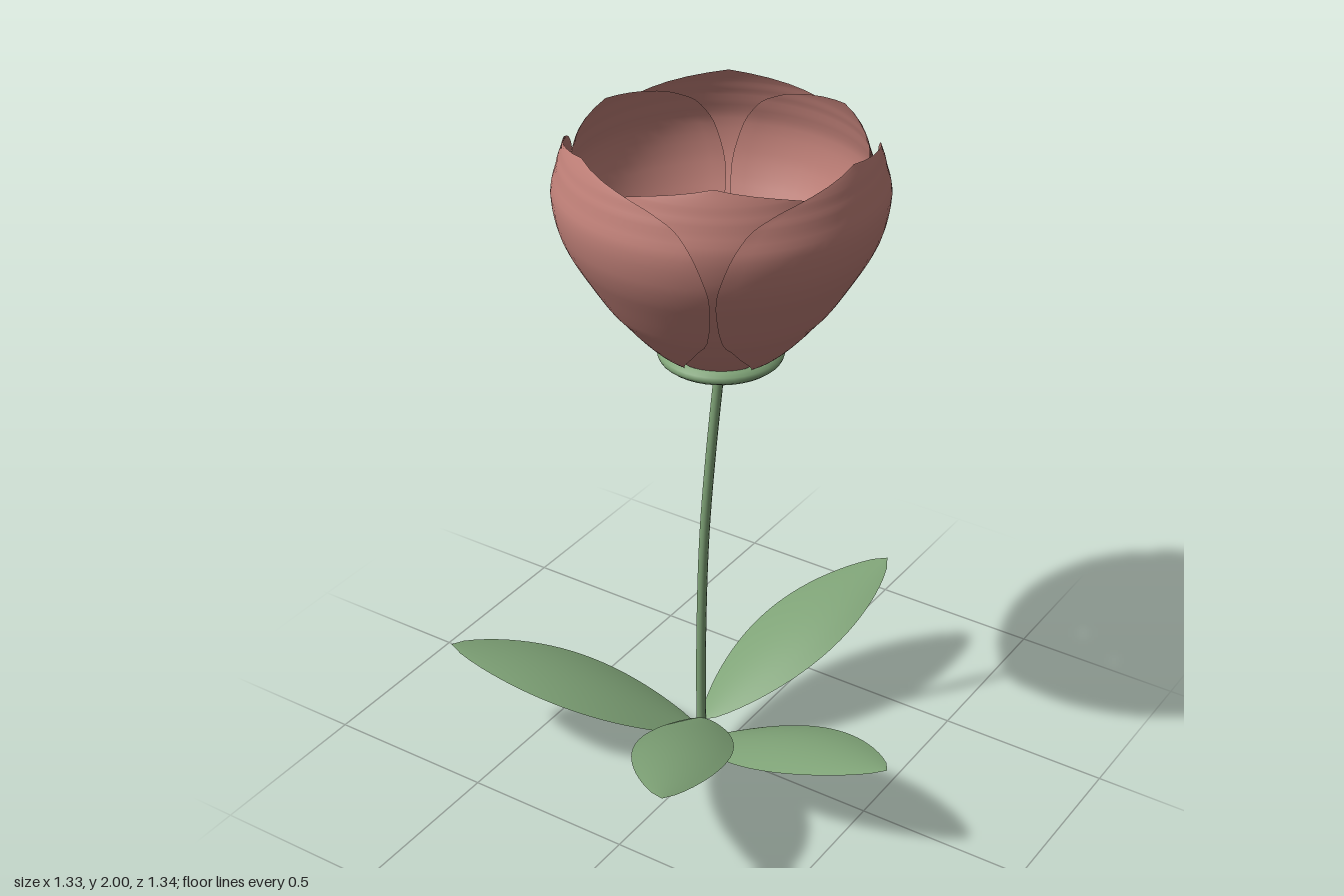
import * as THREE from 'three';

const V = (x, y, z) => new THREE.Vector3(x, y, z);

// Bends a flat grid: fn receives u in -1..1 across and t in 0..1 along, returns a point
function bentGrid(cols, rows, fn) {
  const geo = new THREE.PlaneGeometry(2, 1, cols, rows);
  const pos = geo.attributes.position;
  for (let i = 0; i < pos.count; i++) {
    const p = fn(pos.getX(i), pos.getY(i) + 0.5);
    pos.setXYZ(i, p.x, p.y, p.z);
  }
  geo.computeVertexNormals();
  return geo;
}

// Petal: x = radius, y = height, z = half width in degrees
const petalCurve = new THREE.CatmullRomCurve3([
  V(0.14, 0, 24), V(0.18, 0.03, 31), V(0.27, 0.13, 50), V(0.342, 0.23, 58),
  V(0.4, 0.33, 59), V(0.433, 0.44, 56), V(0.421, 0.53, 49), V(0.409, 0.57, 40),
  V(0.402, 0.592, 30), V(0.385, 0.63, 0),
]);

function petalGeometry(scale) {
  return bentGrid(20, 36, (u, t) => {
    const p = petalCurve.getPoint(t);
    const a = THREE.MathUtils.degToRad(p.z) * u;
    const r = p.x * scale;
    return V(Math.sin(a) * r, p.y, Math.cos(a) * r);
  });
}

// Leaf: arched from base to tip, with drooping edges
function leafGeometry(length, rise) {
  return bentGrid(10, 24, (u, t) => {
    const s = Math.max(0, Math.sin(Math.PI * t));
    const w = 0.137 * Math.pow(s, 0.72);
    return V(u * w, rise * t + 0.045 * s - 0.025 * u * u * s, -length * t);
  });
}

export function createModel() {
  const model = new THREE.Group();
  const pink = new THREE.MeshStandardMaterial({ color: 0xc08078, side: THREE.DoubleSide });
  pink.name = 'petal pink';
  const green = new THREE.MeshStandardMaterial({ color: 0x7fa377, side: THREE.DoubleSide });
  green.name = 'leaf green';

  const add = (parent, name, geo, mat) => {
    const mesh = new THREE.Mesh(geo, mat);
    mesh.name = name;
    parent.add(mesh);
    return mesh;
  };

  // Stem
  const path = new THREE.CatmullRomCurve3([
    V(-0.043, 0, 0.015), V(-0.038, 0.35, 0.024), V(-0.02, 0.75, 0.034),
    V(0.001, 1.05, 0.03), V(0.025, 1.35, 0.018),
  ]);
  add(model, 'stem', new THREE.TubeGeometry(path, 32, 0.014, 10), green);
  const end = add(model, 'stemEnd', new THREE.CircleGeometry(0.014, 10), green);
  end.rotation.x = Math.PI / 2;
  end.position.set(-0.043, 0.001, 0.015);

  // Leaves: base height and tip position
  const leaves = [
    [0.11, V(0.18, 0.375, -0.67)],
    [0.12, V(0.265, 0.4, 0.67)],
    [0.07, V(-0.67, 0.35, 0.375)],
    [0.04, V(0.66, 0.33, 0.17)],
  ];
  for (const [baseY, tip] of leaves) {
    const dx = tip.x + 0.04, dz = tip.z - 0.017;
    const leaf = add(model, 'leaf', leafGeometry(Math.hypot(dx, dz), tip.y - baseY), green);
    leaf.position.set(-0.04, baseY, 0.017);
    leaf.rotation.y = Math.atan2(-dx, -dz);
  }

  // Green cup under the bloom
  const cup = add(model, 'receptacle', new THREE.SphereGeometry(0.17, 40, 16), green);
  cup.scale.y = 0.26;
  cup.position.set(0.025, 1.365, 0.018);

  // Bloom: three outer and three inner petals, and a tiny copy as the heart
  const outer = petalGeometry(1), inner = petalGeometry(0.925);
  const bloom = (name, y, scale) => {
    const group = new THREE.Group();
    group.name = name;
    group.position.set(0.025, y, 0.018);
    group.scale.setScalar(scale);
    for (let i = 0; i < 6; i++) {
      const isOuter = i % 2 === 0;
      const petal = add(group, isOuter ? 'outerPetal' : 'innerPetal', isOuter ? outer : inner, pink);
      petal.rotation.y = Math.PI / 2 + (i * Math.PI) / 3;
    }
    model.add(group);
  };
  bloom('bloom', 1.37, 1);
  bloom('heart', 1.405, 0.1);

  return model;
}
